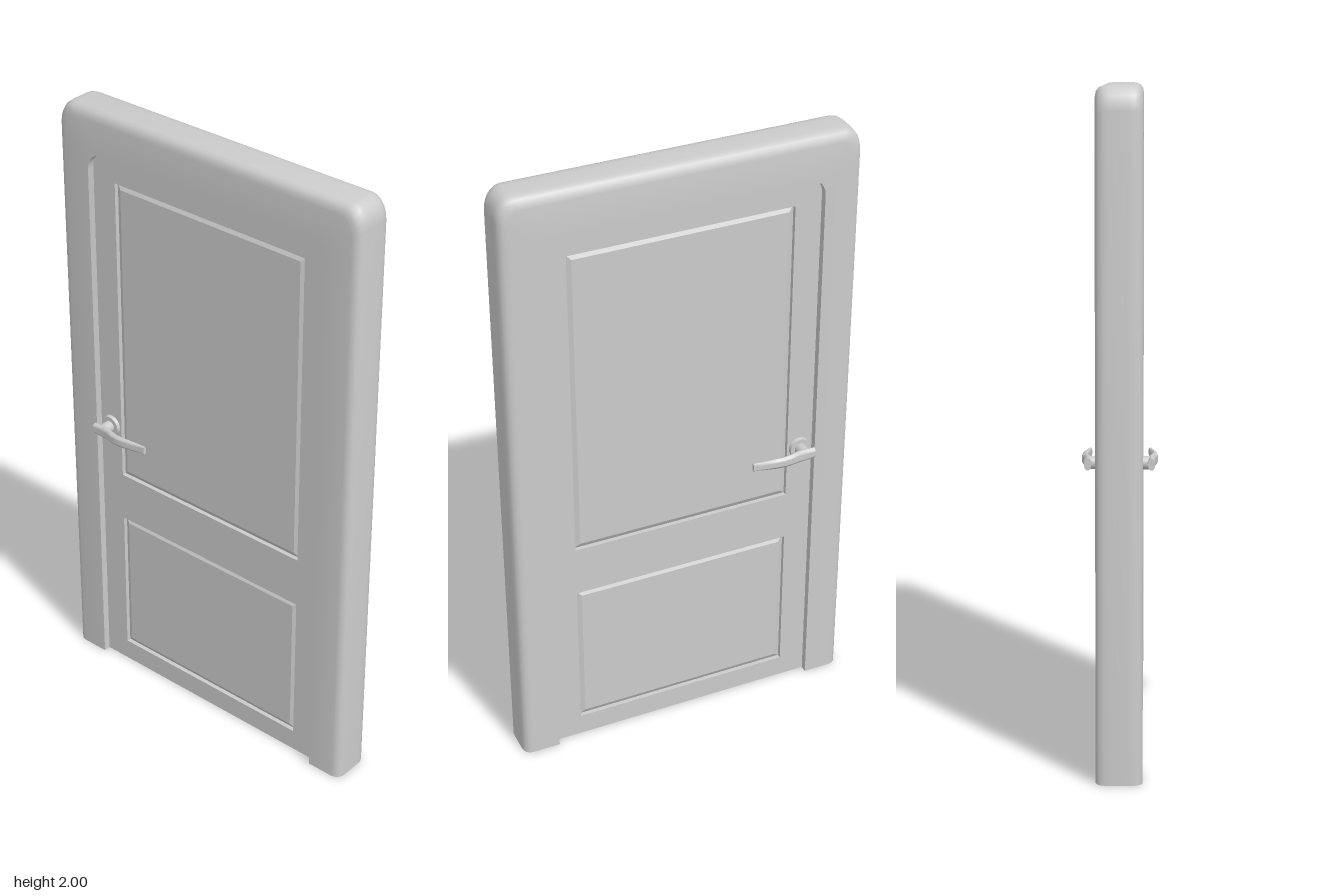
import * as THREE from 'three';
import { toCreasedNormals } from 'three/addons/utils/BufferGeometryUtils.js';

const material = new THREE.MeshStandardMaterial({ color: 0xcccccc, side: THREE.DoubleSide });

const LEAF = 0.045; // half thickness of the door leaf
const HANDLE_X = 0.4, HANDLE_Y = 0.918;

function addMesh(parent, name, geometry) {
  const mesh = new THREE.Mesh(geometry, material);
  mesh.name = name;
  parent.add(mesh);
  return mesh;
}

// Skin a list of closed cross-sections (arrays of [x, y, z]) into one surface
function loft(rows, crease) {
  const n = rows[0].length, index = [];
  for (let i = 0; i < rows.length - 1; i++) {
    for (let j = 0; j < n; j++) {
      const a = i * n + j, b = i * n + (j + 1) % n;
      index.push(a, b, a + n, b, b + n, a + n);
    }
  }
  const geometry = new THREE.BufferGeometry();
  geometry.setAttribute('position', new THREE.Float32BufferAttribute(rows.flat(2), 3));
  geometry.setIndex(index);
  return toCreasedNormals(geometry, crease);
}

// Door-shaped path: up the left side, round both top corners, down the right
function archPath(halfWidth, top, rx, ry) {
  const right = [[halfWidth, 0]];
  const steps = 5;
  for (let i = 0; i <= steps; i++) {
    const a = (i / steps) * Math.PI / 2;
    right.push([halfWidth - rx + rx * Math.cos(a), top - ry + ry * Math.sin(a)]);
  }
  const left = right.map(([x, y]) => [-x, y]);
  return [...left, ...right.reverse()];
}

function rectangle(Type, w, y0, y1) {
  return new Type([[-w, y0], [w, y0], [w, y1], [-w, y1]].map(([x, y]) => new THREE.Vector2(x, y)));
}

// Hollow casing with rounded outer edges, swept from inner to outer outline
function frameGeometry() {
  const inner = archPath(0.444, 1.862, 0.045, 0.055);
  const outer = archPath(0.5625, 2, 0.05, 0.07);
  // [fraction from inner to outer outline, depth]
  const half = [[0, 0.068], [0.76, 0.068], [0.87, 0.065], [0.95, 0.057], [0.99, 0.044], [1, 0.028]];
  const profile = [...half, ...half.map(([u, d]) => [u, -d]).reverse()];
  const rows = inner.map(([x, y], i) => profile.map(([u, d]) => [
    x + (outer[i][0] - x) * u, y + (outer[i][1] - y) * u, d,
  ]));
  return loft(rows, 0.8);
}

// Lever: flattened oval sections along a bowed centre line
function leverGeometry() {
  // [x, distance from door centre, half height, half thickness]
  const stations = [
    [0.43, 0.092, 0.018, 0.011], [0.39, 0.092, 0.021, 0.012], [0.37, 0.094, 0.02, 0.012],
    [0.345, 0.1, 0.019, 0.011], [0.32, 0.102, 0.018, 0.01], [0.3, 0.101, 0.018, 0.009],
    [0.26, 0.095, 0.016, 0.008], [0.22, 0.089, 0.014, 0.006],
  ];
  const sides = 16;
  const section = ([x, z, h, t]) => Array.from({ length: sides }, (_, j) => {
    const a = (j / sides) * Math.PI * 2;
    return [x, h * Math.sin(a), z + t * Math.cos(a)];
  });
  const cap = ([x, z]) => section([x, z, 0, 0]);
  const last = stations[stations.length - 1];
  return loft([cap(stations[0]), ...stations.map(section), cap(last)], 0.9);
}

function createHandle() {
  const handle = new THREE.Group();
  const round = (name, r0, r1, z0, z1) => {
    const geometry = new THREE.CylinderGeometry(r1, r0, z1 - z0, 24);
    geometry.rotateX(Math.PI / 2).translate(HANDLE_X, 0, (z0 + z1) / 2);
    addMesh(handle, name, geometry);
  };
  round('rosette', 0.036, 0.033, LEAF - 0.005, 0.056);
  round('spindle', 0.019, 0.019, 0.05, 0.088);
  addMesh(handle, 'lever', leverGeometry());
  handle.position.y = HANDLE_Y;
  return handle;
}

export function createModel() {
  const door = new THREE.Group();
  door.name = 'door';
  const body = new THREE.Group();
  body.name = 'doorBody';
  body.rotation.y = Math.PI / 2; // the door faces sideways
  door.add(body);

  addMesh(body, 'frame', frameGeometry());

  // Leaf with two panel openings
  const openings = [['upperPanel', 0.745, 1.779], ['lowerPanel', 0.072, 0.578]];
  const leafShape = new THREE.Shape(
    archPath(0.444, 1.862, 0.045, 0.055).map(([x, y]) => new THREE.Vector2(x, y)));
  const w = 0.359;
  openings.forEach(([, y0, y1]) => leafShape.holes.push(rectangle(THREE.Path, w, y0, y1)));
  const leaf = new THREE.ExtrudeGeometry(leafShape, { depth: 2 * LEAF, bevelEnabled: false });
  addMesh(body, 'leaf', leaf.translate(0, 0, -LEAF));

  // Panels with sloping borders, set into the openings
  const border = 0.018, edge = 0.031, rise = 0.01;
  openings.forEach(([name, y0, y1]) => {
    const field = rectangle(THREE.Shape, w, y0, y1);
    const geometry = new THREE.ExtrudeGeometry(field, {
      depth: 2 * edge, bevelThickness: rise, bevelSize: border, bevelOffset: -border, bevelSegments: 1,
    });
    addMesh(body, name, geometry.translate(0, 0, -edge));
  });

  // A handle on each face
  ['rightHandle', 'leftHandle'].forEach((name, i) => {
    const handle = createHandle();
    handle.name = i ? 'innerHandle' : 'outerHandle';
    handle.rotation.x = i * Math.PI;
    body.add(handle);
  });

  return door;
}
